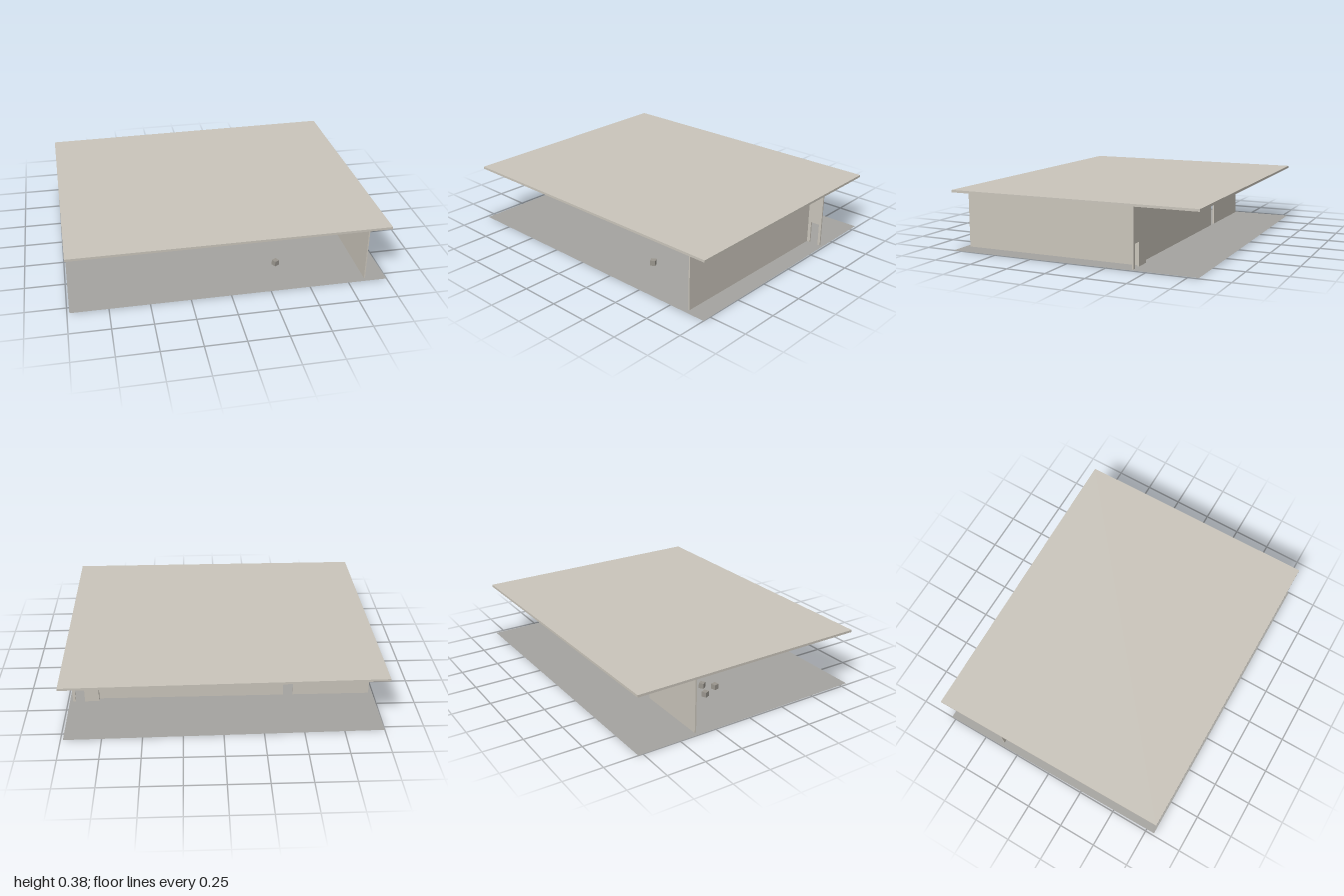
import * as THREE from 'three';

const mat = (name, color, extra = {}) => Object.assign(new THREE.MeshStandardMaterial({ color, ...extra }), { name });

export function createModel() {
  const group = new THREE.Group();
  const plaster = mat('warm plaster', 0xc9c4ba);
  const paving = mat('grey paving', 0xa4a39f, { side: THREE.DoubleSide });
  const stone = mat('seat grey', 0x99958d);

  const add = (name, geometry, material, x = 0, y = 0, z = 0) => {
    const mesh = new THREE.Mesh(geometry, material);
    mesh.name = name;
    mesh.position.set(x, y, z);
    group.add(mesh);
    return mesh;
  };
  const box = (name, x0, x1, y0, y1, z0, z1) =>
    add(name, new THREE.BoxGeometry(x1 - x0, y1 - y0, z1 - z0), plaster,
      (x0 + x1) / 2, (y0 + y1) / 2, (z0 + z1) / 2);

  // Slightly skewed plot outline, shared by roof and ground (shape y becomes -z)
  const outline = new THREE.Shape([[-0.985, 0.805], [1, 0.805], [0.985, -0.81], [-1, -0.78]]
    .map(([x, z]) => new THREE.Vector2(x, -z)));
  const roofTop = 0.38, roofBottom = 0.365;
  add('roofSlab', new THREE.ExtrudeGeometry(outline, { depth: roofTop - roofBottom, bevelEnabled: false })
    .rotateX(-Math.PI / 2), plaster, 0, roofBottom, 0);
  add('ground', new THREE.ShapeGeometry(outline).rotateX(-Math.PI / 2), paving);

  // Wall facing the front, with one door notch cut up from the floor
  const doorWall = (name, x0, x1, d0, d1, z0, z1) => {
    const h = roofBottom, d = 0.145;
    const shape = new THREE.Shape([[x0, 0], [d0, 0], [d0, d], [d1, d], [d1, 0], [x1, 0], [x1, h], [x0, h]]
      .map(([x, y]) => new THREE.Vector2(x, y)));
    add(name, new THREE.ExtrudeGeometry(shape, { depth: z1 - z0, bevelEnabled: false }), plaster, 0, 0.0005, z0);
  };
  doorWall('backWall', -0.97, 0.8, -0.47, -0.405, -0.38, -0.37);
  doorWall('sideDoorWall', 0.798, 0.967, 0.89, 0.95, -0.41, -0.4);

  // Short return joining the two back walls, and the long side wall
  box('wallReturn', 0.798, 0.803, 0.0005, roofBottom, -0.402, -0.37);
  box('sideWall', 0.861, 0.869, 0.0005, roofBottom, -0.4, 0.775);

  // Small block seats standing on the floor
  [[-0.637, -0.07, 0.4], [-0.587, 0.04, 0.2], [-0.53, -0.02, 0.6], [0.348, 0.525, 0.5]].forEach(([x, z, turn], i) => {
    add('seat' + (i + 1), new THREE.BoxGeometry(0.033, 0.035, 0.033), stone, x, 0.018, z).rotation.y = turn;
  });
  return group;
}
